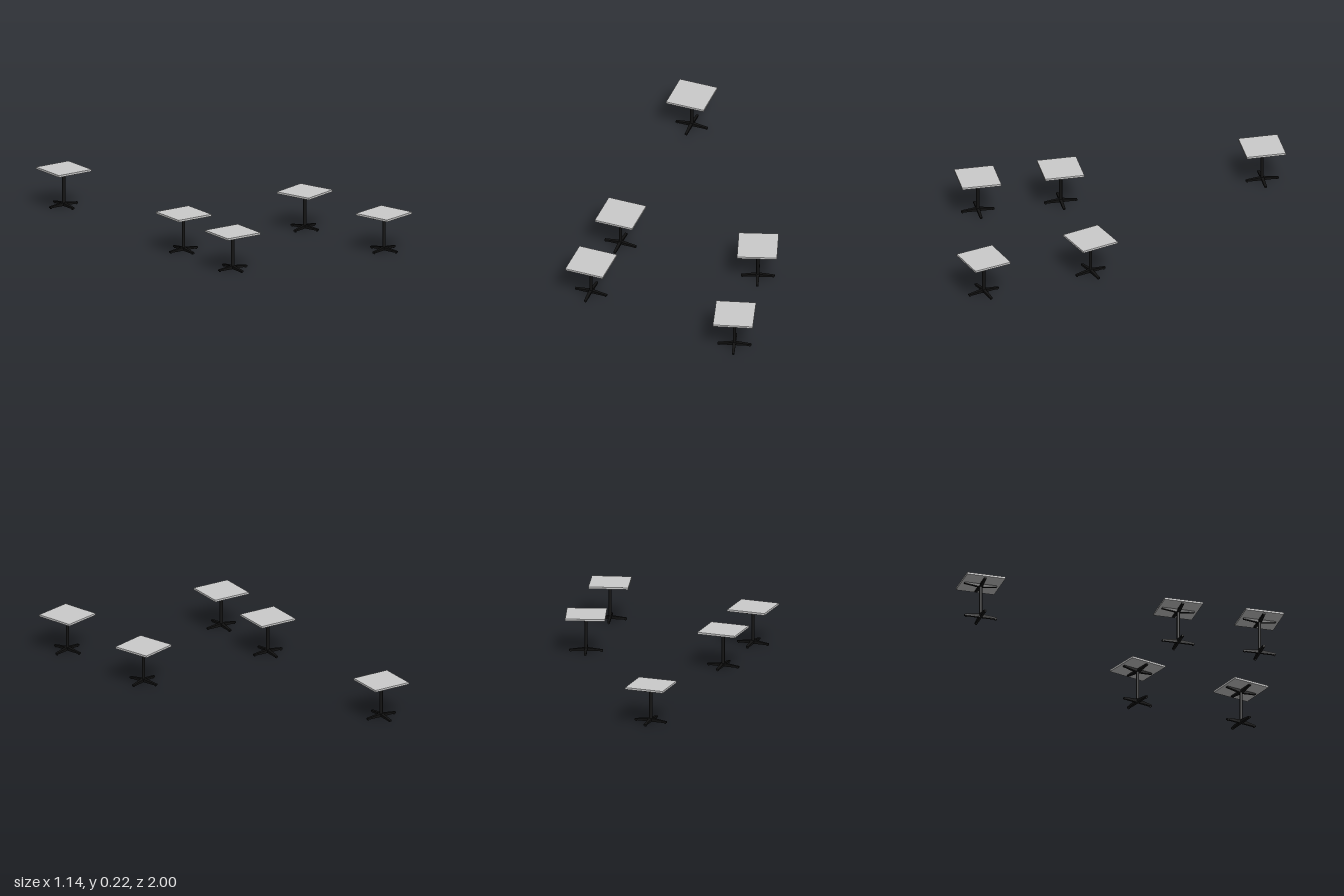
import * as THREE from 'three';

const grey = new THREE.MeshStandardMaterial({ color: 0xcccccc });
const black = new THREE.MeshStandardMaterial({ color: 0x111111 });

const TOP = 0.218, ARM = 0.092, ARM_WIDTH = 0.018;

function add(parent, name, geometry, material, x = 0, y = 0, z = 0) {
  const mesh = new THREE.Mesh(geometry, material);
  mesh.name = name;
  mesh.position.set(x, y, z);
  parent.add(mesh);
  return mesh;
}

// Straight bar, thin at both tips and thicker at the middle, narrowing to the tips
function barGeometry(flat, tip, middle) {
  const points = [[-ARM, flat], [ARM, flat], [ARM, tip], [0.012, middle], [-0.012, middle], [-ARM, tip]];
  if (middle < flat) points.reverse();
  const shape = new THREE.Shape(points.map(([x, y]) => new THREE.Vector2(x, y)));
  const g = new THREE.ExtrudeGeometry(shape, { depth: ARM_WIDTH, bevelEnabled: false });
  g.translate(0, 0, -ARM_WIDTH / 2);
  const p = g.attributes.position;
  for (let i = 0; i < p.count; i++) {
    p.setZ(i, p.getZ(i) * (1 - 0.25 * Math.abs(p.getX(i)) / ARM));
  }
  g.computeVertexNormals();
  return g;
}

const topGeo = new THREE.BoxGeometry(TOP, 0.011, TOP);
const columnGeo = new THREE.CylinderGeometry(0.009, 0.009, 0.178, 20);
const footGeo = new THREE.CylinderGeometry(0.005, 0.005, 0.006, 12);
const baseGeo = barGeometry(0.005, 0.013, 0.023);
const supportGeo = barGeometry(0.205, 0.198, 0.188);

function createTable() {
  const table = new THREE.Group();
  table.name = 'table';
  add(table, 'tableTop', topGeo, grey, 0, 0.2105, 0);
  add(table, 'column', columnGeo, black, 0, 0.106, 0);

  // Crossed base feet and crossed supports below the top
  for (const angle of [0, Math.PI / 2]) {
    add(table, 'baseBar', baseGeo, black).rotation.y = angle;
    add(table, 'supportBar', supportGeo, black).rotation.y = angle;
  }

  // Levelling pads at the ends of the base
  for (let i = 0; i < 4; i++) {
    const a = i * Math.PI / 2, r = ARM - 0.008;
    add(table, 'footPad', footGeo, black, r * Math.cos(a), 0.003, r * Math.sin(a));
  }
  return table;
}

export function createModel() {
  const group = new THREE.Group();
  group.name = 'tables';
  // x, z, turn
  const places = [
    [-0.463, -0.891, 0],
    [-0.461, 0.235, -0.005],
    [-0.461, 0.698, -0.01],
    [0.342, 0.246, 0.31],
    [0.434, 0.863, 0.27],
  ];
  for (const [x, z, turn] of places) {
    const table = createTable();
    table.position.set(x, 0, z);
    table.rotation.y = turn;
    group.add(table);
  }
  return group;
}
